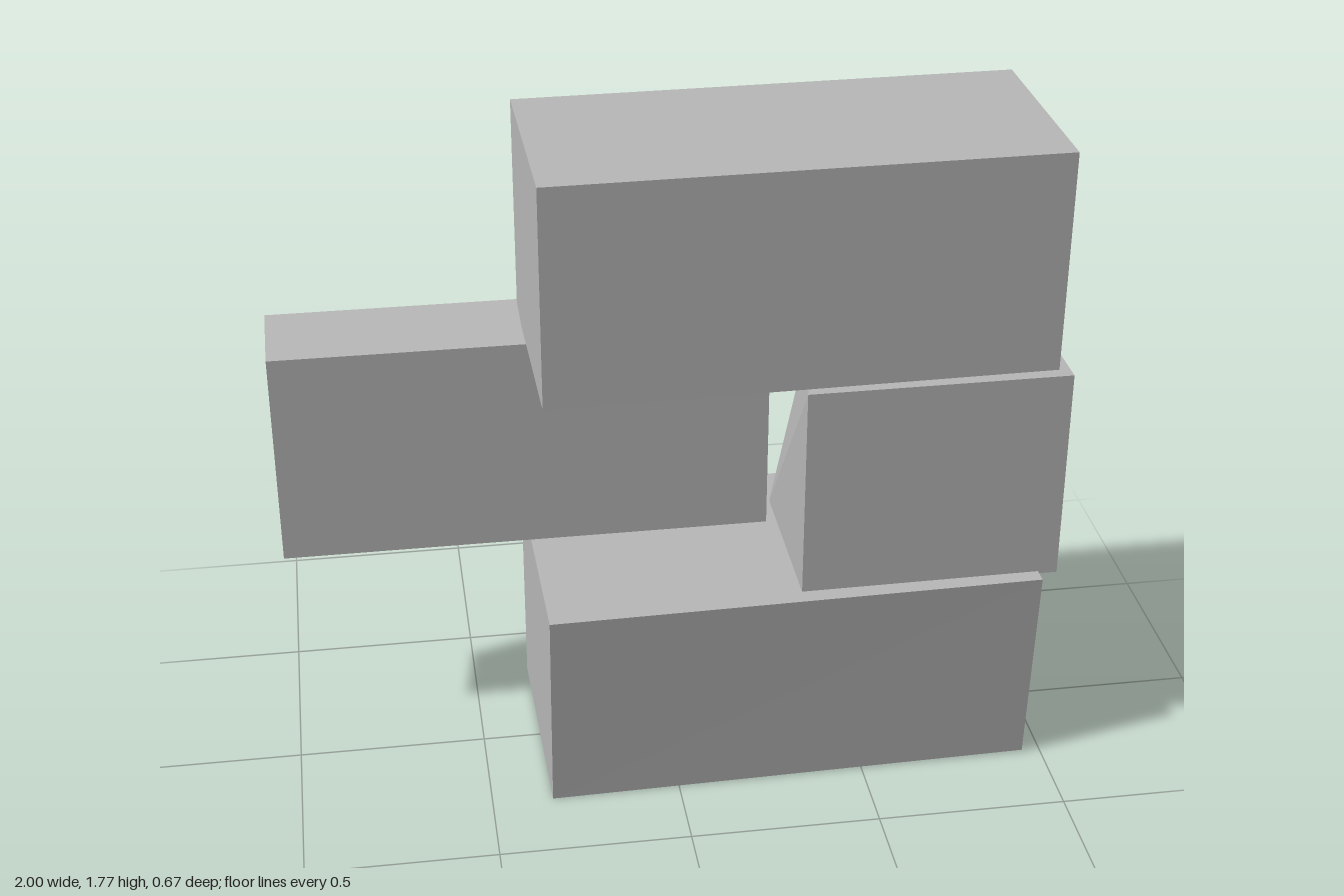
import * as THREE from 'three';

const stone = new THREE.MeshStandardMaterial({ color: 0xb8b8b8 });
stone.name = 'plain grey';

// Block from 4 bottom and 4 top corners, each ring ordered
// front left-hand (-x), front right-hand (+x), back +x, back -x.
function makeBlock(name, bottom, top) {
  const c = [...bottom, ...top];
  const quads = [
    [3, 2, 1, 0], // underside
    [4, 5, 6, 7], // top
    [0, 1, 5, 4], // front
    [1, 2, 6, 5], // +x end
    [2, 3, 7, 6], // back
    [3, 0, 4, 7], // -x end
  ];
  const pos = [];
  for (const [a, b, d, e] of quads) {
    for (const i of [a, b, d, a, d, e]) pos.push(...c[i]);
  }
  const geo = new THREE.BufferGeometry();
  geo.setAttribute('position', new THREE.Float32BufferAttribute(pos, 3));
  geo.computeVertexNormals();
  const mesh = new THREE.Mesh(geo, stone);
  mesh.name = name;
  return mesh;
}

export function createModel() {
  const group = new THREE.Group();
  group.name = 'stackedBlocks';

  // base block, its front leaning outwards towards the top
  group.add(makeBlock('bottomBlock',
    [[-0.34, 0, 0.29], [0.95, 0.005, 0.27], [0.94, 0, -0.335], [-0.35, 0, -0.32]],
    [[-0.34, 0.585, 0.335], [0.95, 0.585, 0.312], [0.94, 0.585, -0.338], [-0.35, 0.585, -0.318]]));

  // long thin slab tipped slightly, overhanging one side
  group.add(makeBlock('middleSlab',
    [[-1, 0.59, -0.07], [0.29, 0.59, -0.07], [0.29, 0.627, -0.255], [-1, 0.627, -0.255]],
    [[-1, 1.175, -0.07], [0.29, 1.175, -0.07], [0.29, 1.212, -0.258], [-1, 1.212, -0.258]]));

  // short block with one chipped, sunken back corner
  group.add(makeBlock('middleShortBlock',
    [[0.32, 0.58, 0.277], [1, 0.578, 0.27], [1, 0.565, -0.193], [0.32, 0.57, -0.195]],
    [[0.32, 1.158, 0.27], [1, 1.156, 0.263], [1, 1.145, -0.202], [0.42, 1.06, -0.212]]));

  // top block, turned slightly
  const ring = (y) => [[-0.34, y, 0.312], [0.95, y, 0.29], [0.94, y, -0.265], [-0.35, y, -0.245]];
  group.add(makeBlock('topBlock', ring(1.19), ring(1.77)));

  return group;
}
